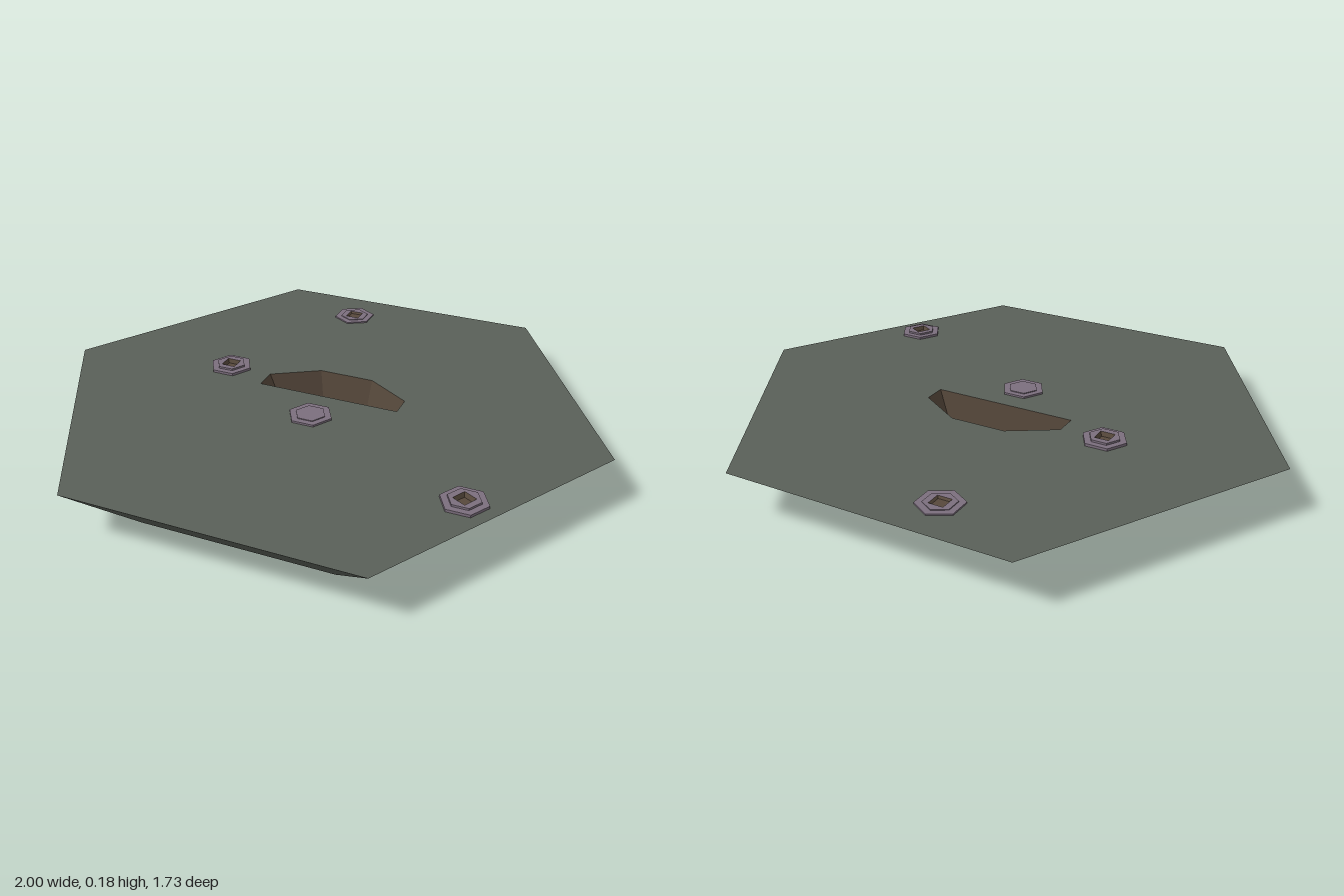
import * as THREE from 'three';

const TOP = 0.166;

const slabMat = new THREE.MeshStandardMaterial({ color: 0x5a6058 });
slabMat.name = 'greyGreenMetal';
const boltMat = new THREE.MeshStandardMaterial({ color: 0x7c6f7e });
boltMat.name = 'mauveMetal';
const rustMat = new THREE.MeshStandardMaterial({ color: 0x57493c });
rustMat.name = 'brownRecess';

// Regular polygon as [x, z] points
function ring(n, r, turn = 0, cx = 0, cz = 0) {
  return Array.from({ length: n }, (_, i) => {
    const a = turn + (i / n) * Math.PI * 2;
    return [cx + r * Math.cos(a), cz + r * Math.sin(a)];
  });
}

// Flat-sided wall joining a lower ring to an upper ring
function wall(lower, upper, y0, y1, inward = false) {
  const pos = [];
  const lo = inward ? [...lower].reverse() : lower;
  const hi = inward ? [...upper].reverse() : upper;
  lo.forEach((p, i) => {
    const j = (i + 1) % lo.length;
    const a = [p[0], y0, p[1]];
    const b = [hi[i][0], y1, hi[i][1]];
    const c = [hi[j][0], y1, hi[j][1]];
    const d = [lo[j][0], y0, lo[j][1]];
    pos.push(...a, ...b, ...c, ...a, ...c, ...d);
  });
  const g = new THREE.BufferGeometry();
  g.setAttribute('position', new THREE.Float32BufferAttribute(pos, 3));
  g.computeVertexNormals();
  return g;
}

// Horizontal face, optionally pierced, looking up or down
function cap(points, y, hole = null, up = true) {
  const s = up ? -1 : 1;
  const toVec = ([x, z]) => new THREE.Vector2(x, s * z);
  const shape = new THREE.Shape(points.map(toVec));
  if (hole) shape.holes.push(new THREE.Path(hole.map(toVec)));
  return new THREE.ShapeGeometry(shape).rotateX((s * Math.PI) / 2).translate(0, y, 0);
}

function add(group, name, geometry, material) {
  const mesh = new THREE.Mesh(geometry, material);
  mesh.name = name;
  group.add(mesh);
}

// Hexagonal bolt: wide washer, smaller head and optional square socket
function makeBolt({ x, z, turn = 0, washer, head, socketTurn = null }) {
  const bolt = new THREE.Group();
  bolt.name = 'bolt';
  const outer = ring(6, 0.078, turn);
  const inner = ring(6, 0.054, turn);
  const socket = socketTurn === null ? null : ring(4, 0.036, Math.PI / 4 + socketTurn);
  add(bolt, 'washerSide', wall(outer, outer, 0, washer), boltMat);
  add(bolt, 'washerTop', cap(outer, washer, inner), boltMat);
  add(bolt, 'headSide', wall(inner, inner, washer, head), boltMat);
  add(bolt, 'headTop', cap(inner, head, socket), boltMat);
  if (socket) {
    const floor = ring(4, 0.028, Math.PI / 4 + socketTurn);
    add(bolt, 'socketWalls', wall(floor, socket, 0.001, head, true), rustMat);
    add(bolt, 'socketFloor', cap(floor, 0.001), rustMat);
  }
  bolt.position.set(x, TOP, z);
  return bolt;
}

export function createModel() {
  const model = new THREE.Group();
  model.name = 'hexagonalPlate';

  // Tapered hexagonal slab, with its base shifted forward
  const slab = new THREE.Group();
  slab.name = 'slab';
  const rim = ring(6, 1);
  const base = ring(6, 0.665, 0, 0, 0.115);
  const slotTop = [[0.26, -0.02], [-0.26, -0.02], [-0.26, -0.1], [-0.1, -0.2], [0.1, -0.2], [0.26, -0.1]];
  const slotBase = [[0.2, -0.036], [-0.2, -0.036], [-0.2, -0.105], [-0.08, -0.18], [0.08, -0.18], [0.2, -0.105]];
  add(slab, 'slabTop', cap(rim, TOP, slotTop), slabMat);
  add(slab, 'slabSides', wall(base, rim, 0, TOP), slabMat);
  add(slab, 'slabUnderside', cap(base, 0, slotBase, false), slabMat);
  add(slab, 'slotWalls', wall(slotBase, slotTop, 0, TOP, true), rustMat);
  model.add(slab);

  // Bolts scattered over the top
  [
    { x: -0.17, z: -0.7, turn: Math.PI / 6, washer: 0.005, head: 0.008, socketTurn: 0 },
    { x: -0.42, z: -0.1, washer: 0.009, head: 0.016, socketTurn: 0 },
    { x: 0.632, z: 0.42, washer: 0.009, head: 0.016, socketTurn: 0.5 },
    { x: 0, z: 0.123, washer: 0.007, head: 0.01 },
  ].forEach((b) => model.add(makeBolt(b)));

  return model;
}
